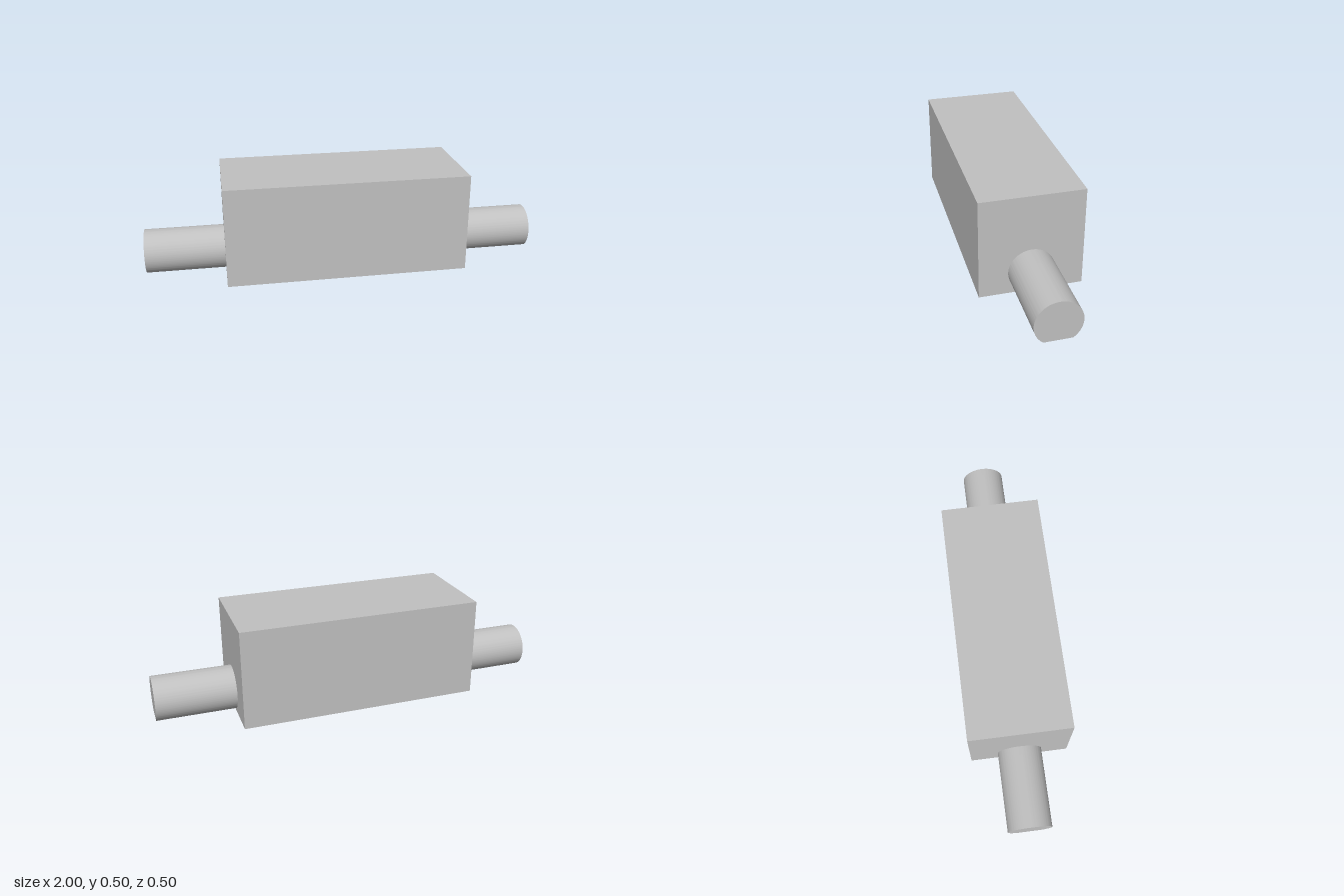
import * as THREE from 'three';
import { toCreasedNormals } from 'three/addons/utils/BufferGeometryUtils.js';

const BODY = { length: 1.21, height: 0.5, depth: 0.5 };
const SHAFT = { radius: 0.111, flatY: 0.022, end: 1 };

// D-shaped section: a circle cut by a flat along the bottom
function shaftSection() {
  const { radius, flatY } = SHAFT;
  const cut = Math.asin((flatY - radius) / radius);
  const shape = new THREE.Shape();
  shape.absarc(0, radius, radius, cut, Math.PI - cut, false);
  shape.closePath();
  return shape;
}

export function createModel() {
  const group = new THREE.Group();
  const metal = new THREE.MeshStandardMaterial({ color: 0xc0c0c0 });
  metal.name = 'light grey';

  // Rectangular body
  const body = new THREE.Mesh(new THREE.BoxGeometry(BODY.length, BODY.height, BODY.depth), metal);
  body.name = 'body';
  body.position.y = BODY.height / 2;
  group.add(body);

  // Shaft stub on each end, flat side down
  const start = BODY.length / 2;
  const stub = toCreasedNormals(new THREE.ExtrudeGeometry(shaftSection(), {
    depth: SHAFT.end - start, bevelEnabled: false, curveSegments: 64,
  }), 0.4);
  for (const side of [1, -1]) {
    const shaft = new THREE.Mesh(stub, metal);
    shaft.name = side > 0 ? 'leftShaft' : 'rightShaft';
    shaft.rotation.y = side * Math.PI / 2;
    shaft.position.x = side * start;
    group.add(shaft);
  }
  return group;
}
